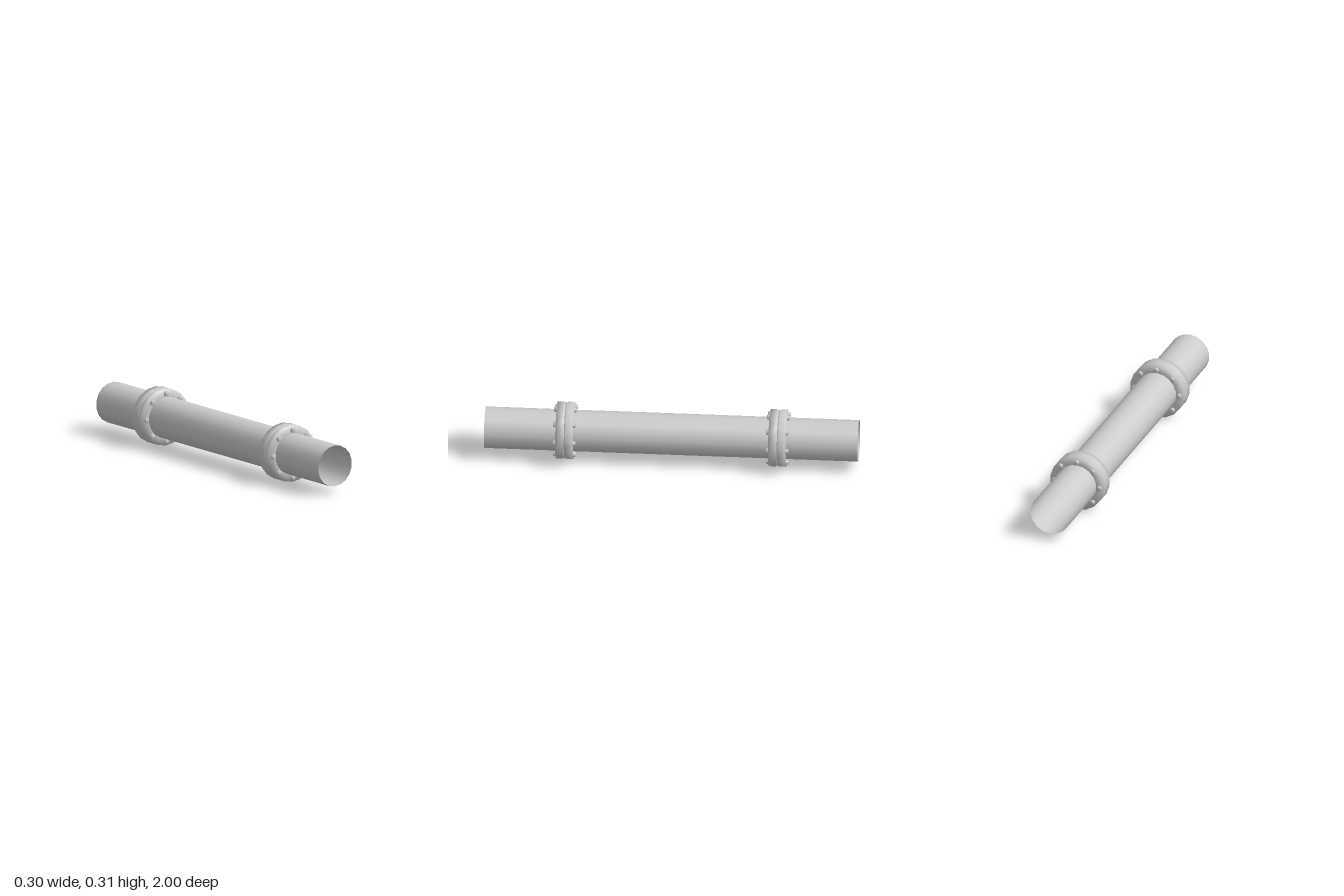
import * as THREE from 'three';

const SIDES = 18;
const PIPE_R = 0.112;
const FLANGE_R = 0.154;
const BOLT_RING_R = 0.13;
const AXIS_Y = 0.154;

// Turn a [radius, z] profile around the z axis
function turned(profile, sides) {
  const points = profile.map(([r, z]) => new THREE.Vector2(r, z));
  return new THREE.LatheGeometry(points, sides).rotateX(Math.PI / 2);
}

export function createModel() {
  const model = new THREE.Group();
  model.name = 'flangedPipe';
  const metal = new THREE.MeshStandardMaterial({ color: 0xcccccc });
  const thinMetal = new THREE.MeshStandardMaterial({ color: 0xcccccc, side: THREE.DoubleSide });

  // Open pipe along z
  const pipe = new THREE.Mesh(turned([[PIPE_R, -1], [PIPE_R, 1]], SIDES), thinMetal);
  pipe.name = 'pipe';
  pipe.position.y = AXIS_Y;
  model.add(pipe);

  // Half of a flange pair, with its mating edge eased to leave a narrow groove
  const flangeGeo = turned([
    [FLANGE_R - 0.007, 0], [FLANGE_R, 0.007], [FLANGE_R, 0.046], [PIPE_R, 0.046],
  ], SIDES);

  // Hexagonal bolt head with a chamfered top
  const boltGeo = turned([
    [0.0145, 0.045], [0.0145, 0.056], [0.01, 0.061], [0, 0.061],
  ], 6).rotateZ(Math.PI / 6);

  for (const z of [-0.57, 0.57]) {
    const joint = new THREE.Group();
    joint.name = z > 0 ? 'frontJoint' : 'backJoint';
    joint.position.set(0, AXIS_Y, z);

    // Two mating halves, each with a ring of eight bolts
    for (const turn of [0, Math.PI]) {
      const half = new THREE.Group();
      half.name = turn ? 'backHalf' : 'frontHalf';
      half.rotation.y = turn;
      const flange = new THREE.Mesh(flangeGeo, metal);
      flange.name = 'flange';
      half.add(flange);
      for (let i = 0; i < 8; i++) {
        const a = (i * Math.PI) / 4;
        const bolt = new THREE.Mesh(boltGeo, metal);
        bolt.name = 'boltHead';
        bolt.position.set(BOLT_RING_R * Math.sin(a), BOLT_RING_R * Math.cos(a), 0);
        bolt.rotation.z = -a;
        half.add(bolt);
      }
      joint.add(half);
    }
    model.add(joint);
  }
  return model;
}
